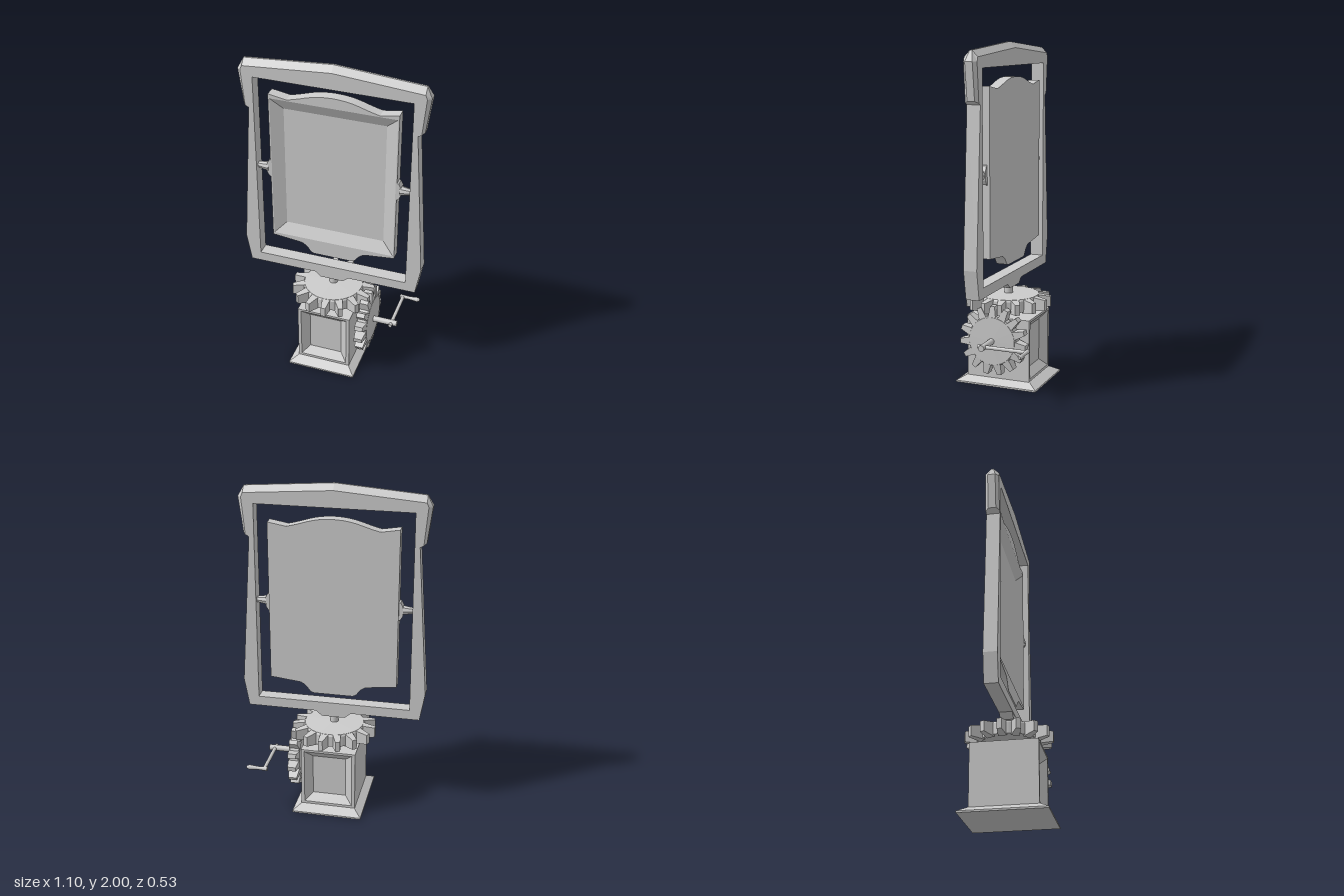
import * as THREE from 'three';

const material = new THREE.MeshStandardMaterial({ color: 0xcccccc, flatShading: true, side: THREE.DoubleSide });
const smooth = new THREE.MeshStandardMaterial({ color: 0xcccccc });

function add(parent, name, geometry, x = 0, y = 0, z = 0, mat = material) {
  const mesh = new THREE.Mesh(geometry, mat);
  mesh.name = name;
  mesh.position.set(x, y, z);
  parent.add(mesh);
  return mesh;
}

// Skin between successive closed rings of [x, y, z] points
function loft(rings) {
  const pos = [];
  for (let i = 0; i < rings.length - 1; i++) {
    const a = rings[i], b = rings[i + 1], n = a.length;
    for (let j = 0; j < n; j++) {
      const k = (j + 1) % n;
      pos.push(...a[j], ...a[k], ...b[k], ...a[j], ...b[k], ...b[j]);
    }
  }
  const g = new THREE.BufferGeometry();
  g.setAttribute('position', new THREE.Float32BufferAttribute(pos, 3));
  g.computeVertexNormals();
  return g;
}

const rect = (w, y0, y1) => [[-w, y0], [w, y0], [w, y1], [-w, y1]];
const toPath = (pts, Type = THREE.Shape) => new Type(pts.map(p => new THREE.Vector2(p[0], p[1])));

// Raised rim with a rectangular hole and sloping inner walls
function addRecess(parent, name, outline, hole, inset, depth, z) {
  outline.holes.push(toPath(hole, THREE.Path));
  add(parent, name + 'Rim', new THREE.ExtrudeGeometry(outline, { depth, bevelEnabled: false }), 0, 0, z);
  const [w, y0, y1] = [hole[1][0], hole[0][1], hole[2][1]];
  const inner = rect(w - inset, y0 + inset, y1 - inset);
  add(parent, name + 'Slopes', loft([hole.map(p => [...p, z + depth]), inner.map(p => [...p, z])]));
}

// Outer frame: half profile rows of hole, face edge, outer ridge and ridge half depth
function buildFrame() {
  const T = 0.04;
  const half = [
    [0, 0.66, 0, 0.6, 0, 0.6, T],
    [0.46, 0.66, 0.52, 0.6, 0.52, 0.6, T],
    [0.46, 0.77, 0.55, 0.77, 0.55, 0.77, T],
    [0.46, 1.67, 0.49, 1.67, 0.49, 1.67, T],
    [0.46, 1.69, 0.51, 1.68, 0.525, 1.69, 0.022],
    [0.46, 1.865, 0.53, 1.9, 0.552, 1.9, 0.022],
    [0.46, 1.865, 0.52, 1.925, 0.52, 1.96, 0.006],
    [0, 1.865, 0, 1.965, 0, 2, 0.006],
  ];
  const mirrored = half.slice(1, -1).reverse().map(r => r.map((v, i) => (i === 0 || i === 2 || i === 4) ? -v : v));
  const rows = [...half, ...mirrored];
  const ring = (i, depth) => rows.map(r => [r[i], r[i + 1], depth(r)]);
  return loft([
    ring(0, () => -T), ring(2, () => -T), ring(4, r => -r[6]),
    ring(4, r => r[6]), ring(2, () => T), ring(0, () => T), ring(0, () => -T),
  ]);
}

function panelOutline() {
  const s = new THREE.Shape();
  s.moveTo(-0.38, 0.805);
  s.lineTo(-0.2, 0.785);
  s.quadraticCurveTo(-0.17, 0.775, -0.15, 0.745);
  s.quadraticCurveTo(-0.135, 0.72, -0.11, 0.72);
  s.lineTo(0.11, 0.72);
  s.quadraticCurveTo(0.135, 0.72, 0.15, 0.745);
  s.quadraticCurveTo(0.17, 0.775, 0.2, 0.785);
  s.lineTo(0.38, 0.805);
  s.lineTo(0.38, 1.765);
  s.lineTo(0.27, 1.746);
  s.bezierCurveTo(0.16, 1.77, 0.13, 1.8, 0, 1.802);
  s.bezierCurveTo(-0.13, 1.8, -0.16, 1.77, -0.27, 1.746);
  s.lineTo(-0.38, 1.765);
  s.closePath();
  return s;
}

// Gear about the y axis: turned disc with tapered teeth
function buildGear(name, radius, tip, thick, phase) {
  const gear = new THREE.Group();
  gear.name = name;
  const t = thick / 2;
  const profile = [[0, -t * 0.8], [radius, -t * 0.8], [radius, t * 0.75], [radius - 0.007, t], [0, t * 1.1]];
  add(gear, 'gearDisc', new THREE.LatheGeometry(profile.map(p => new THREE.Vector2(...p)), 40));
  const root = radius - 0.015, length = tip - root;
  const tooth = new THREE.BoxGeometry(length, thick, 0.05).translate(root + length / 2, 0, 0);
  const p = tooth.attributes.position;
  for (let i = 0; i < p.count; i++) {
    if (p.getX(i) > radius) {
      p.setY(i, p.getY(i) * 0.72);
      p.setZ(i, p.getZ(i) * 0.55);
    }
  }
  for (let i = 0; i < 15; i++) {
    add(gear, 'gearTooth', tooth).rotation.y = phase + i * Math.PI * 2 / 15;
  }
  return gear;
}

export function createModel() {
  const model = new THREE.Group();
  model.name = 'crankedPivotMirror';
  const body = new THREE.Group();
  body.name = 'body';
  body.position.z = 0.007;
  model.add(body);

  // Plinth with sloping top
  const level = (x, y, z) => [[-x, y, z], [x, y, z], [x, y, -z], [-x, y, -z]];
  add(body, 'plinth', loft([level(0, 0, 0), level(0.21, 0, 0.252), level(0.21, 0.01, 0.252),
    level(0.165, 0.04, 0.2), level(0, 0.04, 0)].map((r, i) => i ? r : level(0.0001, 0, 0.0001))));

  // Box housing, recessed at front and back
  add(body, 'housingCore', new THREE.BoxGeometry(0.33, 0.375, 0.31), 0, 0.2225, 0);
  for (const turn of [0, Math.PI]) {
    const side = new THREE.Group();
    side.name = turn ? 'housingBack' : 'housingFront';
    side.rotation.y = turn;
    body.add(side);
    addRecess(side, 'housing', toPath(rect(0.165, 0.035, 0.41)), rect(0.145, 0.055, 0.397), 0.045, 0.04, 0.155);
  }

  // Gears and upright shaft
  const topGear = buildGear('turntableGear', 0.185, 0.252, 0.085, THREE.MathUtils.degToRad(10));
  topGear.position.y = 0.478;
  body.add(topGear);
  add(body, 'uprightShaft', new THREE.CylinderGeometry(0.025, 0.025, 0.2, 16), 0, 0.5, 0, smooth);
  const sideGear = buildGear('crankGear', 0.148, 0.205, 0.07, Math.PI);
  sideGear.rotation.z = -Math.PI / 2;
  sideGear.position.set(0.223, 0.292, 0);
  body.add(sideGear);

  // Crank
  const rod = (name, r0, r1, len, x, z, alongZ) => {
    const m = add(body, name, new THREE.CylinderGeometry(r1, r0, len, 14), x, 0.292, z, smooth);
    if (alongZ) m.rotation.x = Math.PI / 2;
    else m.rotation.z = -Math.PI / 2;
  };
  rod('crankShaft', 0.018, 0.018, 0.27, 0.275, 0);
  rod('crankArm', 0.011, 0.011, 0.3, 0.376, -0.115, true);
  rod('crankHandle', 0.013, 0.01, 0.06, 0.388, -0.263);
  rod('crankGrip', 0.01, 0.015, 0.052, 0.444, -0.263);
  rod('crankGripEnd', 0.015, 0.008, 0.015, 0.477, -0.263);

  // Frame and its foot
  add(body, 'frame', buildFrame());
  const foot = toPath([[-0.07, 0.568], [0.07, 0.568], [0.11, 0.602], [-0.11, 0.602]]);
  add(body, 'frameFoot', new THREE.ExtrudeGeometry(foot, { depth: 0.076, bevelEnabled: false }), 0, 0, -0.038);

  // Swinging panel with recessed face
  const panel = new THREE.Group();
  panel.name = 'panel';
  body.add(panel);
  add(panel, 'panelBack', new THREE.ExtrudeGeometry(panelOutline(), { depth: 0.03, bevelEnabled: false }), 0, 0, -0.045);
  addRecess(panel, 'panel', panelOutline(), rect(0.372, 0.82, 1.738), 0.07, 0.035, -0.015);

  // Pivots on both sides
  for (const s of [-1, 1]) {
    const plate = toPath([[0.375, 1.22], [0.39, 1.225], [0.403, 1.25], [0.403, 1.305], [0.39, 1.33], [0.375, 1.335]]
      .map(p => [p[0] * s, p[1]]));
    add(body, 'pivotPlate', new THREE.ExtrudeGeometry(plate, { depth: 0.05, bevelEnabled: false }), 0, 0, -0.03);
    const peg = add(body, 'pivotPeg', new THREE.CylinderGeometry(0.018, 0.03, 0.07, 8), s * 0.43, 1.278, 0);
    peg.rotation.z = -s * Math.PI / 2;
  }
  return model;
}
